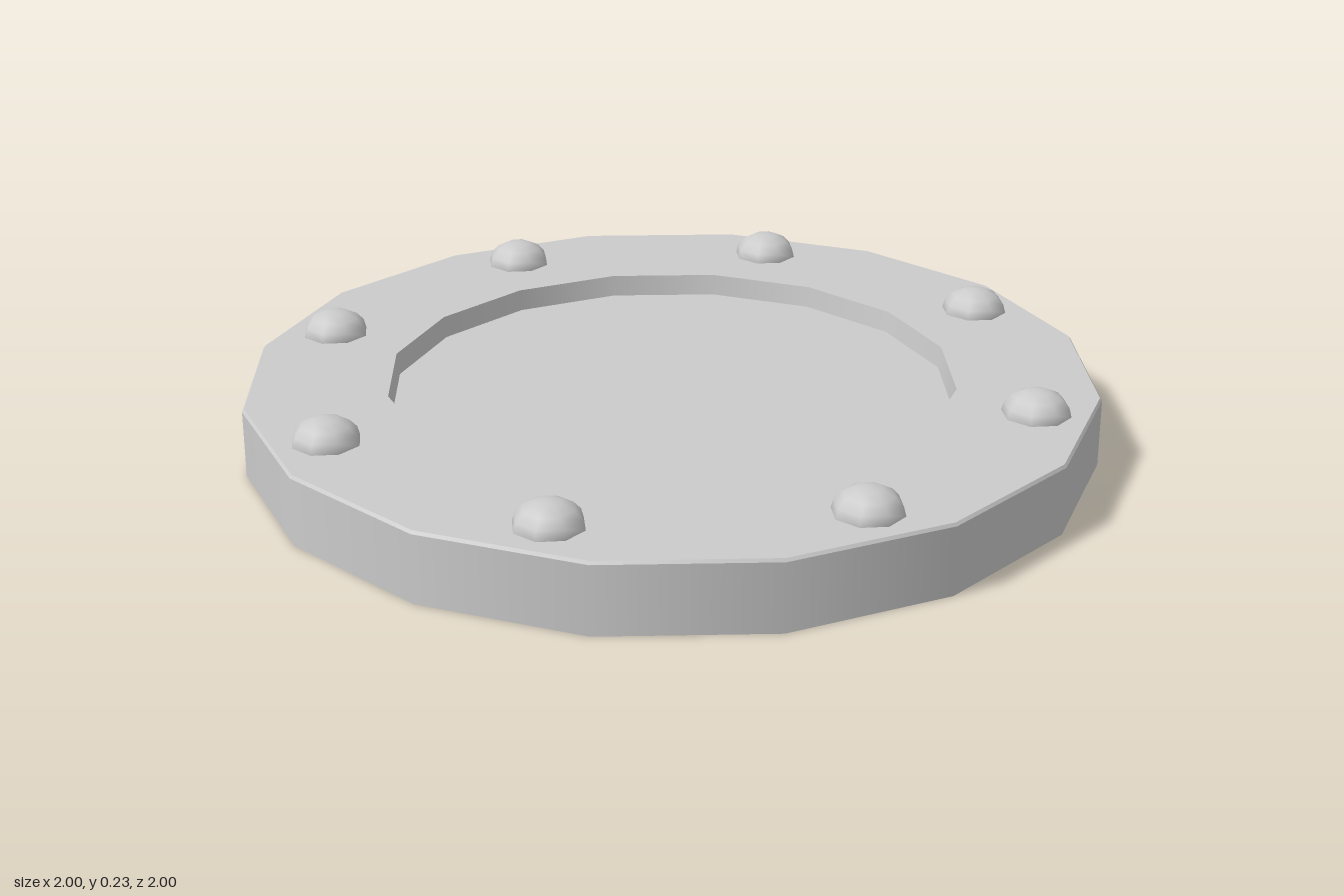
import * as THREE from 'three';

const SIDES = 16;
const RIVETS = 8;

export function createModel() {
  const model = new THREE.Group();
  const material = new THREE.MeshStandardMaterial({ color: 0xcccccc, side: THREE.DoubleSide });

  // One lathe band per profile segment: smooth around, sharp between bands
  function addBands(name, profile) {
    const part = new THREE.Group();
    part.name = name;
    for (let i = 0; i < profile.length - 1; i++) {
      const points = [profile[i], profile[i + 1]].map(([r, y]) => new THREE.Vector2(r, y));
      const band = new THREE.Mesh(new THREE.LatheGeometry(points, SIDES), material);
      band.name = name + 'Band';
      part.add(band);
    }
    model.add(part);
  }

  // Thin outer shell, open underneath: side wall, small bevel and flat rim
  addBands('rim', [[1, 0], [1, 0.16], [0.995, 0.167], [0.668, 0.167]]);

  // Shallow dish sunk into the middle of the rim
  addBands('dish', [[0.668, 0.167], [0.662, 0.115], [0, 0.115]]);

  // Flattened dome rivets spaced around the rim
  const dome = new THREE.SphereGeometry(0.08, 8, 4, 0, Math.PI * 2, 0, Math.PI / 2);
  dome.scale(1, 0.74, 1);
  for (let i = 0; i < RIVETS; i++) {
    const angle = Math.PI / 12 + (i * Math.PI * 2) / RIVETS;
    const rivet = new THREE.Mesh(dome, material);
    rivet.name = 'rivet';
    rivet.position.set(Math.cos(angle) * 0.86, 0.166, -Math.sin(angle) * 0.86);
    rivet.rotation.y = angle;
    model.add(rivet);
  }

  return model;
}
